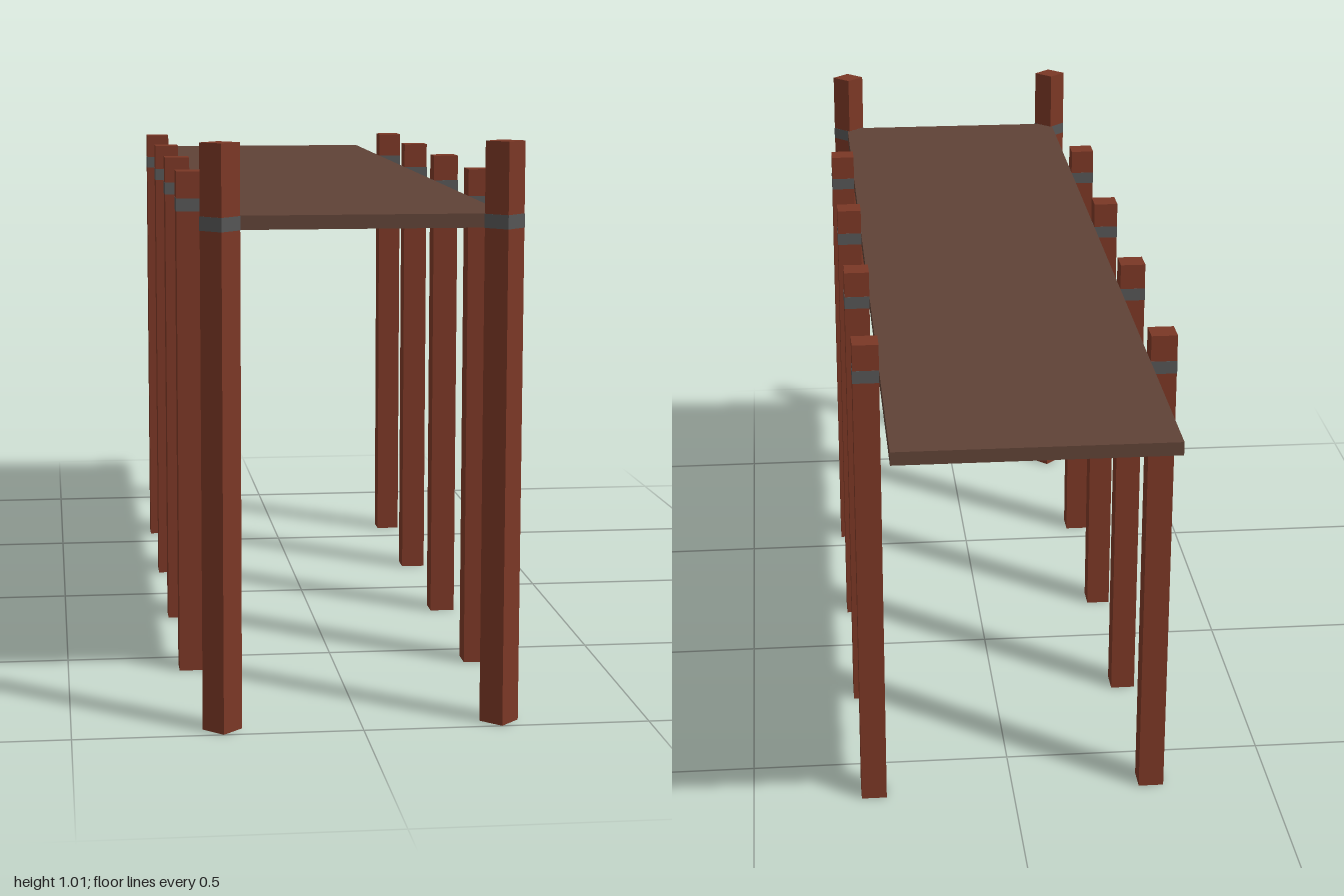
import * as THREE from 'three';

const paint = (name, color) => {
  const m = new THREE.MeshStandardMaterial({ color });
  m.name = name;
  return m;
};

export function createModel() {
  const postWood = paint('reddish post wood', 0x7a3725);
  const deckWood = paint('brown deck wood', 0x5f4236);
  const strapGrey = paint('grey strap', 0x555555);

  const model = new THREE.Group();
  model.name = 'pier';

  const box = (parent, name, material, w, h, d, x, y, z) => {
    const mesh = new THREE.Mesh(new THREE.BoxGeometry(w, h, d), material);
    mesh.name = name;
    mesh.position.set(x, y, z);
    parent.add(mesh);
  };

  const deckLow = 0.86, deckHigh = 0.884, postSize = 0.048;
  const deckMid = (deckLow + deckHigh) / 2, deckThick = deckHigh - deckLow;

  // Deck slab
  box(model, 'deck', deckWood, 0.49, deckThick, 1.96, 0, deckMid, -0.02);

  // Square post with a strap wrapped around it at deck level
  const addPost = (name, x, z, height, turn) => {
    const post = new THREE.Group();
    post.name = name;
    post.position.set(x, 0, z);
    post.rotation.y = turn;
    box(post, 'postShaft', postWood, postSize, height, postSize, 0, height / 2, 0);
    const strap = postSize + 0.001;
    box(post, 'strap', strapGrey, strap, deckThick, strap, 0, deckMid, 0);
    model.add(post);
  };

  for (const [side, s] of [['left', 1], ['right', -1]]) {
    // Taller front corner post, turned diagonally
    addPost(`${side}CornerPost`, s * 0.241, 0.966, 1.007, Math.PI / 4);
    // Row of posts along the side
    for (let i = 0; i < 4; i++) {
      addPost(`${side}SidePost${i + 1}`, s * 0.269, 0.571 - i * 0.3925, 0.933, 0);
    }
  }
  return model;
}
